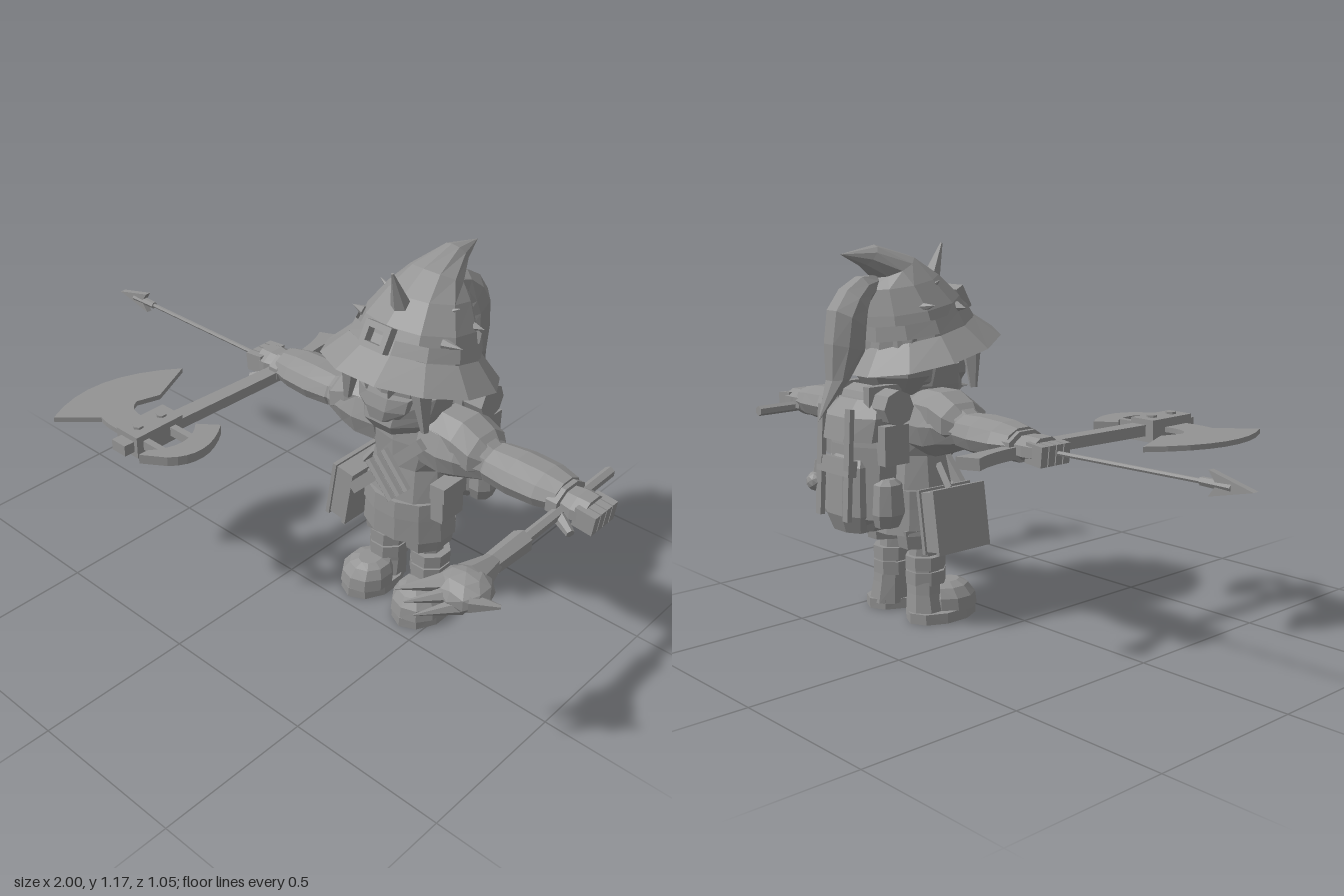
import * as THREE from 'three';

const grey = new THREE.MeshStandardMaterial({ color: 0x939393, flatShading: true, side: THREE.DoubleSide });
grey.name = 'plain grey';
const V = (a) => new THREE.Vector3(...a);

function add(parent, name, geo, pos = [0, 0, 0], rot = [0, 0, 0]) {
  const m = new THREE.Mesh(geo, grey);
  m.name = name;
  m.position.set(...pos);
  m.rotation.set(...rot);
  parent.add(m);
  return m;
}
const box = (p, name, size, pos, rot) => add(p, name, new THREE.BoxGeometry(...size), pos, rot);

// Tapered rod between two points
function rod(parent, name, a, b, r0, r1, n = 6) {
  const d = V(b).sub(V(a));
  const m = add(parent, name, new THREE.CylinderGeometry(r1, r0, d.length(), n), V(a).add(V(b)).multiplyScalar(0.5).toArray());
  m.quaternion.setFromUnitVectors(new THREE.Vector3(0, 1, 0), d.normalize());
  return m;
}

// Skin over rings; each ring is [front y, front z, back y, back z, half width, x]
function loft(rings, n = 10, caps = true, phase = Math.PI / n) {
  const pos = [], idx = [];
  const mids = rings.map(([yf, zf, yb, zb, , x = 0]) => [x, (yf + yb) / 2, (zf + zb) / 2]);
  rings.forEach(([yf, zf, yb, zb, w], j) => {
    const [x, y, z] = mids[j];
    for (let i = 0; i < n; i++) {
      const t = phase + (i / n) * Math.PI * 2, s = Math.sin(t);
      pos.push(x + Math.cos(t) * w, y + s * (yf - yb) / 2, z + s * (zf - zb) / 2);
    }
  });
  for (let j = 0; j < rings.length - 1; j++) for (let i = 0; i < n; i++) {
    const a = j * n + i, b = j * n + (i + 1) % n;
    idx.push(a, a + n, b, b, a + n, b + n);
  }
  if (caps) {
    const last = (rings.length - 1) * n, c = rings.length * n;
    pos.push(...mids[0], ...mids[mids.length - 1]);
    for (let i = 0; i < n; i++) {
      const k = (i + 1) % n;
      idx.push(c, i, k, c + 1, last + k, last + i);
    }
  }
  const g = new THREE.BufferGeometry();
  g.setAttribute('position', new THREE.Float32BufferAttribute(pos, 3));
  g.setIndex(idx);
  g.computeVertexNormals();
  return g;
}
// Level ring: height, front z, back z, half width, x
const lv = (y, zf, zb, w, x) => [y, zf, y, zb, w, x];

// Flat plate drawn in x and z
function plate(shape, depth) {
  const g = new THREE.ExtrudeGeometry(shape, { depth, bevelEnabled: false, curveSegments: 8 });
  return g.translate(0, 0, -depth / 2).rotateX(Math.PI / 2);
}

// Leg, boot, arm and hand of one side, built on +x
function buildLimbs(name) {
  const g = new THREE.Group();
  g.name = name;
  add(g, 'shorts', loft([lv(0.24, -0.1, -0.29, 0.06, 0.08), lv(0.3, -0.09, -0.3, 0.065, 0.08)], 8));
  add(g, 'leg', loft([lv(0.18, -0.15, -0.25, 0.048, 0.075), lv(0.3, -0.145, -0.24, 0.048, 0.075)], 8));
  add(g, 'bootShaft', loft([lv(0.02, -0.14, -0.275, 0.066, 0.095), lv(0.09, -0.155, -0.265, 0.058, 0.088), lv(0.2, -0.15, -0.255, 0.052, 0.082)], 8));
  for (const y of [0.118, 0.166])
    add(g, 'bootStrap', loft([lv(y, -0.132, -0.264, 0.064, 0.083), lv(y + 0.042, -0.132, -0.264, 0.064, 0.083)], 8));
  add(g, 'sole', loft([lv(0, -0.028, -0.28, 0.085, 0.105), lv(0.033, -0.028, -0.28, 0.083, 0.105)], 10));
  add(g, 'bootToe', loft([lv(0.03, -0.03, -0.21, 0.085, 0.105), lv(0.07, -0.035, -0.21, 0.082, 0.104), lv(0.1, -0.055, -0.2, 0.064, 0.1), lv(0.113, -0.08, -0.17, 0.035, 0.097)], 10));

  // Arm rings run outwards; half width becomes half height, x lowers the ring
  const arm = new THREE.Group();
  arm.name = 'arm';
  arm.rotation.z = -Math.PI / 2;
  arm.position.y = 0.63;
  g.add(arm);
  add(arm, 'shoulder', loft([lv(0.08, -0.09, -0.28, 0.105, -0.005), lv(0.16, -0.08, -0.285, 0.105, -0.005), lv(0.215, -0.085, -0.28, 0.09, -0.01), lv(0.3, -0.12, -0.25, 0.055, 0)]));
  add(arm, 'shoulderCap', loft([lv(0.12, -0.1, -0.27, 0.075, -0.04), lv(0.2, -0.085, -0.285, 0.072, -0.042), lv(0.26, -0.09, -0.28, 0.065, -0.02), lv(0.29, -0.12, -0.25, 0.045, -0.01)], 8));
  add(arm, 'sleeve', loft([lv(0.28, -0.125, -0.25, 0.052), lv(0.3, -0.113, -0.268, 0.056), lv(0.38, -0.103, -0.282, 0.061), lv(0.47, -0.108, -0.28, 0.057), lv(0.53, -0.125, -0.262, 0.046)]));
  add(arm, 'cuff', loft([lv(0.51, -0.115, -0.268, 0.048, 0.008), lv(0.545, -0.115, -0.268, 0.048, 0.008)], 8));
  add(arm, 'hand', loft([lv(0.53, -0.14, -0.245, 0.036, 0.01), lv(0.58, -0.125, -0.255, 0.042, 0.01), lv(0.62, -0.13, -0.25, 0.04, 0.01)], 8));
  for (let i = 0; i < 4; i++) box(g, 'finger', [0.065, 0.06, 0.025], [0.625, 0.615, -0.145 - i * 0.029], [0, 0, -0.1]);
  rod(g, 'thumb', [0.55, 0.6, -0.13], [0.61, 0.585, -0.1], 0.021, 0.013);
  return g;
}

function buildHead(p) {
  add(p, 'head', loft([lv(0.7, -0.06, -0.25, 0.07), lv(0.76, -0.025, -0.3, 0.13), lv(0.85, -0.02, -0.32, 0.145), lv(0.92, -0.05, -0.32, 0.14)]));
  add(p, 'faceScarf', loft([lv(0.675, -0.03, -0.24, 0.085), lv(0.715, 0, -0.27, 0.125), lv(0.745, -0.005, -0.28, 0.135), lv(0.81, -0.025, -0.26, 0.15)], 8));
  add(p, 'mask', loft([lv(0.73, 0.002, -0.1, 0.06), lv(0.77, 0.008, -0.1, 0.092), lv(0.81, 0, -0.1, 0.098)], 8));
  add(p, 'backHair', loft([lv(0.72, -0.18, -0.32, 0.09), lv(0.78, -0.14, -0.36, 0.14), lv(0.9, -0.14, -0.35, 0.16)], 8));
  for (const s of [-1, 1]) {
    rod(p, 'sideLock', [s * 0.125, 0.89, -0.04], [s * 0.145, 0.73, -0.045], 0.038, 0.012, 5);
    rod(p, 'fringe', [s * 0.055, 0.9, -0.02], [s * 0.04, 0.815, -0.005], 0.04, 0.003, 4);
  }
  // Drooping pointed hat
  add(p, 'hatBrim', loft([[0.94, 0.01, 0.865, -0.34, 0.19], [0.91, 0.106, 0.785, -0.406, 0.267], [0.965, 0.015, 0.875, -0.345, 0.197]], 12, false));
  add(p, 'hatCrown', loft([[0.945, 0.015, 0.86, -0.35, 0.195], [1.02, -0.03, 0.96, -0.345, 0.168], [1.085, -0.1, 1.04, -0.335, 0.125], [1.14, -0.185, 1.075, -0.31, 0.085], [1.175, -0.31, 1.11, -0.36, 0.04], [1.15, -0.435, 1.15, -0.435, 0]], 10));
  add(p, 'hatBand', loft([[0.965, 0.016, 0.885, -0.355, 0.2], [1.0, -0.006, 0.93, -0.353, 0.187]], 12, false));
  const buckle = new THREE.Group();
  buckle.name = 'hatBuckle';
  buckle.position.set(0, 1.0, 0.005);
  buckle.rotation.x = -0.5;
  p.add(buckle);
  for (const s of [-1, 1]) {
    box(buckle, 'buckleSide', [0.018, 0.075, 0.03], [s * 0.036, 0, 0]);
    box(buckle, 'buckleBar', [0.09, 0.018, 0.03], [0, s * 0.029, 0]);
    rod(p, 'hatSpike', [s * 0.14, 0.985, -0.11], [s * 0.2, 0.985, -0.12], 0.018, 0);
    rod(p, 'hatSpike', [s * 0.13, 0.99, -0.24], [s * 0.19, 1.0, -0.23], 0.018, 0);
    rod(p, 'hatSpike', [s * 0.09, 1.04, -0.17], [s * 0.145, 1.07, -0.175], 0.016, 0);
  }
  rod(p, 'hatHorn', [0, 1.045, -0.1], [0, 1.172, -0.048], 0.034, 0.004);
  add(p, 'plume', loft([[1.085, -0.31, 1.03, -0.31, 0.025], [1.085, -0.37, 1.0, -0.345, 0.045], [1.05, -0.43, 0.96, -0.355, 0.06], [0.99, -0.475, 0.92, -0.36, 0.065], [0.89, -0.49, 0.86, -0.365, 0.062], [0.78, -0.49, 0.79, -0.415, 0.045], [0.66, -0.53, 0.66, -0.53, 0]], 8));
}

function buildBody(p) {
  add(p, 'torso', loft([lv(0.41, -0.065, -0.305, 0.145), lv(0.53, -0.088, -0.28, 0.125), lv(0.62, -0.085, -0.28, 0.16), lv(0.7, -0.09, -0.28, 0.14), lv(0.75, -0.12, -0.26, 0.08)]));
  add(p, 'skirt', loft([lv(0.283, -0.06, -0.322, 0.156), lv(0.38, -0.06, -0.31, 0.147)], 12));
  add(p, 'belt', loft([lv(0.368, -0.054, -0.316, 0.153), lv(0.425, -0.058, -0.312, 0.149)], 12));
  // Bandolier and its vials
  box(p, 'bandolier', [0.036, 0.37, 0.02], [-0.01, 0.525, -0.073], [0, 0, -0.75]);
  for (let i = -1; i <= 1; i++) {
    const x = 0.015 + i * 0.028, y = 0.52 + i * 0.03;
    rod(p, 'vial', [x - 0.05, y + 0.048, -0.055], [x + 0.05, y - 0.048, -0.047], 0.014, 0.014);
  }
  box(p, 'hipPouch', [0.045, 0.12, 0.1], [0.15, 0.44, -0.17], [0, 0, 0.05]);
  box(p, 'hipPouchFlap', [0.053, 0.05, 0.108], [0.151, 0.48, -0.17], [0, 0, 0.05]);
  // Hip satchel
  const bag = new THREE.Group();
  bag.name = 'satchel';
  bag.position.set(-0.19, 0.34, -0.17);
  bag.rotation.z = -0.14;
  p.add(bag);
  box(bag, 'satchelBody', [0.06, 0.185, 0.19]);
  for (const s of [-1, 1]) box(bag, 'satchelCover', [0.014, 0.2, 0.205], [s * 0.034, 0, 0]);
  rod(p, 'satchelStrap', [-0.17, 0.43, -0.17], [-0.12, 0.5, -0.17], 0.014, 0.014, 4);
}

function buildPack(p) {
  const g = new THREE.Group();
  g.name = 'backpack';
  p.add(g);
  const q = Math.PI / 8;
  add(g, 'packBody', loft([lv(0.32, -0.33, -0.44, 0.1), lv(0.36, -0.3, -0.46, 0.135), lv(0.58, -0.285, -0.45, 0.14), lv(0.7, -0.29, -0.43, 0.125)], 8, true, q));
  add(g, 'packFlap', loft([lv(0.6, -0.3, -0.485, 0.135), lv(0.67, -0.29, -0.47, 0.14), lv(0.72, -0.31, -0.42, 0.11)], 8, true, q));
  rod(g, 'bedroll', [-0.16, 0.7, -0.35], [0.16, 0.7, -0.35], 0.055, 0.055, 8);
  add(g, 'backPocket', loft([lv(0.315, -0.38, -0.465, 0.08), lv(0.37, -0.38, -0.485, 0.1), lv(0.52, -0.38, -0.475, 0.095), lv(0.55, -0.38, -0.45, 0.075)], 8, true, q));
  box(g, 'pocketFlap', [0.165, 0.05, 0.03], [0, 0.52, -0.468], [0.15, 0, 0]);
  for (const s of [-1, 1]) {
    add(g, 'sidePocket', loft([lv(0.34, -0.34, -0.42, 0.035, s * 0.13), lv(0.38, -0.325, -0.43, 0.045, s * 0.135), lv(0.47, -0.33, -0.42, 0.04, s * 0.13), lv(0.485, -0.35, -0.4, 0.02, s * 0.13)], 8));
    box(g, 'sidePouch', [0.05, 0.12, 0.09], [s * 0.135, 0.59, -0.36]);
    box(g, 'packStrap', [0.026, 0.34, 0.016], [s * 0.07, 0.53, -0.475], [0.06, 0, 0]);
    box(g, 'bedrollStrap', [0.028, 0.122, 0.122], [s * 0.08, 0.7, -0.35]);
  }
  add(g, 'flask', new THREE.IcosahedronGeometry(0.032, 1), [0.105, 0.455, -0.472]);
  rod(g, 'flaskNeck', [0.105, 0.48, -0.468], [0.105, 0.52, -0.46], 0.014, 0.014);
}

function buildAxe(p) {
  const g = new THREE.Group();
  g.name = 'axe';
  g.position.y = 0.61;
  p.add(g);
  // Curved handle
  const h = new THREE.Shape();
  h.moveTo(-0.27, -0.42).lineTo(-0.205, -0.45).quadraticCurveTo(-0.2, -0.3, -0.18, -0.2);
  h.lineTo(-0.205, 0.49).lineTo(-0.262, 0.49).lineTo(-0.225, -0.2).quadraticCurveTo(-0.225, -0.34, -0.27, -0.42);
  add(g, 'axeHandle', plate(h, 0.035));
  box(g, 'axeSocket', [0.09, 0.07, 0.18], [-0.235, 0, 0.365]);
  for (const z of [0.32, 0.41]) rod(g, 'rivet', [-0.235, -0.042, z], [-0.235, 0.042, z], 0.017, 0.017);
  const b = new THREE.Shape();
  b.moveTo(-0.435, 0.055).quadraticCurveTo(-0.63, 0.29, -0.495, 0.525).lineTo(-0.39, 0.425);
  b.quadraticCurveTo(-0.34, 0.44, -0.27, 0.43).lineTo(-0.27, 0.33).quadraticCurveTo(-0.36, 0.35, -0.385, 0.29).lineTo(-0.362, 0.215);
  add(g, 'greatBlade', plate(b, 0.016));
  const s = new THREE.Shape();
  s.moveTo(-0.09, 0.212).quadraticCurveTo(0.015, 0.35, -0.075, 0.44).lineTo(-0.145, 0.487);
  s.lineTo(-0.145, 0.455).quadraticCurveTo(-0.06, 0.35, -0.15, 0.26);
  add(g, 'smallBlade', plate(s, 0.03));
  for (const z of [0.315, 0.42]) box(g, 'bladeBar', [0.1, 0.03, 0.022], [-0.15, 0, z]);
}

function buildArrow(p) {
  const g = new THREE.Group();
  g.name = 'arrow';
  p.add(g);
  rod(g, 'arrowShaft', [-0.2, 0.615, -0.18], [-0.88, 0.622, -0.172], 0.007, 0.007);
  const s = new THREE.Shape();
  s.moveTo(-1, 0.622).lineTo(-0.86, 0.657).lineTo(-0.885, 0.622).lineTo(-0.86, 0.588);
  add(g, 'arrowHead', new THREE.ExtrudeGeometry(s, { depth: 0.02, bevelEnabled: false }), [0, 0, -0.182]);
  rod(g, 'arrowSocket', [-0.83, 0.622, -0.172], [-0.93, 0.622, -0.172], 0.012, 0.015);
}

function buildWand(p) {
  const g = new THREE.Group();
  g.name = 'clawWand';
  p.add(g);
  rod(g, 'wandShaft', [0.873, 0.608, -0.4], [0.88, 0.608, 0.06], 0.017, 0.018);
  rod(g, 'wandGrip', [0.88, 0.61, 0.04], [0.88, 0.61, 0.18], 0.034, 0.03);
  rod(g, 'clawWrist', [0.88, 0.61, 0.17], [0.885, 0.612, 0.28], 0.027, 0.055, 8);
  const palm = add(g, 'clawPalm', new THREE.IcosahedronGeometry(1, 1), [0.89, 0.612, 0.305]);
  palm.scale.set(0.078, 0.052, 0.075);
  rod(g, 'clawThumb', [0.93, 0.612, 0.34], [0.998, 0.61, 0.3], 0.03, 0.006);
  for (let i = 0; i < 3; i++)
    rod(g, 'clawFinger', [0.85 + i * 0.03, 0.63 - i * 0.02, 0.34], [0.77 + i * 0.04, 0.62 - i * 0.012, 0.435 + i * 0.012], 0.025, 0.002);
}

export function createModel() {
  const model = new THREE.Group();
  model.name = 'hattedAdventurer';
  const body = new THREE.Group();
  body.name = 'figure';
  body.position.x = 0.33;
  model.add(body);
  buildBody(body);
  buildHead(body);
  buildPack(body);
  const right = buildLimbs('rightLimbs');
  right.scale.x = -1;
  body.add(buildLimbs('leftLimbs'), right);
  buildAxe(model);
  buildArrow(model);
  buildWand(model);
  return model;
}
